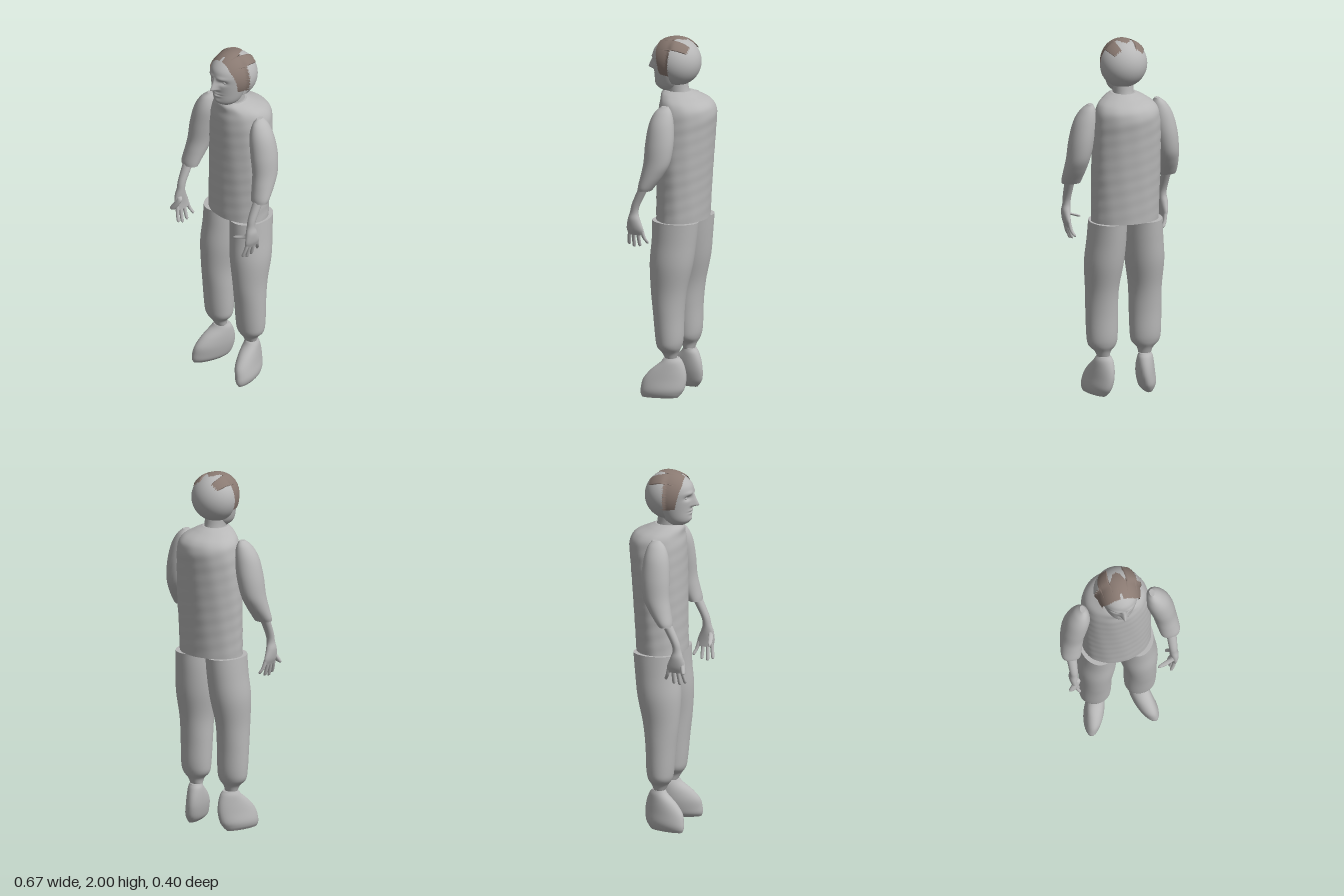
import * as THREE from 'three';

const mat = (name, color) => {
  const m = new THREE.MeshStandardMaterial({ color, side: THREE.DoubleSide });
  m.name = name;
  return m;
};

// Smooth closed loft through horizontal ellipses [y, cx, cz, rx, rz], listed bottom to top.
function loft(rows, { seg = 32, steps = 6, shear = 0, warp } = {}) {
  const mid = new THREE.CatmullRomCurve3(rows.map(r => new THREE.Vector3(r[1], r[0], r[2])), false, 'catmullrom', 0.5);
  const rad = new THREE.CatmullRomCurve3(rows.map(r => new THREE.Vector3(r[3], 0, r[4])), false, 'catmullrom', 0.5);
  const n = (rows.length - 1) * steps, pos = [], idx = [];
  const ring = j => {
    const c = mid.getPoint(j / n), r = rad.getPoint(j / n);
    for (let i = 0; i < seg; i++) {
      const a = i / seg * Math.PI * 2, dz = Math.sin(a) * r.z;
      const p = new THREE.Vector3(c.x + Math.cos(a) * r.x + shear * dz, c.y, c.z + dz);
      if (warp) warp(p, a);
      pos.push(p.x, p.y, p.z);
    }
    return c;
  };
  for (let j = 0; j <= n; j++) ring(j);
  for (let j = 0; j < n; j++) for (let i = 0; i < seg; i++) {
    const a = j * seg + i, b = j * seg + (i + 1) % seg;
    idx.push(a, a + seg, b, b, a + seg, b + seg);
  }
  // Caps use their own ring so their rims stay crisp
  for (const j of [0, n]) {
    const s = pos.length / 3, c = ring(j), m = s + seg;
    pos.push(c.x, c.y, c.z);
    for (let i = 0; i < seg; i++) {
      const k = s + (i + 1) % seg;
      if (j) idx.push(m, k, s + i); else idx.push(m, s + i, k);
    }
  }
  const g = new THREE.BufferGeometry();
  g.setAttribute('position', new THREE.Float32BufferAttribute(pos, 3));
  g.setIndex(idx);
  g.computeVertexNormals();
  return g;
}

const bump = (x, y, cx, cy, sx, sy) => Math.exp(-(((x - cx) / sx) ** 2) - ((y - cy) / sy) ** 2);

// Nose, brow, eye sockets, lips and chin pushed out of the front of the head
function faceWarp(p) {
  if (p.z < 0.07) return;
  const x = Math.abs(p.x), y = p.y;
  const t = (1.885 - y) / 0.07;
  const nose = t > 0 ? 0.042 * Math.min(t, 1) * (t > 1 ? Math.exp(-(((y - 1.815) / 0.009) ** 2)) : 1) : 0;
  p.z += nose * Math.exp(-((x / (0.011 + 0.006 * Math.min(Math.max(t, 0), 1))) ** 2));
  p.z += 0.006 * bump(x, y, 0.04, 1.885, 0.03, 0.012);
  p.z -= 0.014 * bump(x, y, 0.043, 1.858, 0.022, 0.013);
  p.z += 0.007 * bump(x, y, 0, 1.783, 0.026, 0.006) + 0.007 * bump(x, y, 0, 1.767, 0.022, 0.006);
  p.z -= 0.005 * bump(x, y, 0, 1.775, 0.03, 0.003);
  p.z += 0.006 * bump(x, y, 0, 1.735, 0.025, 0.014);
}

// Cap of hair arching ear to ear, with ragged front and back edges
function hairGeometry() {
  const nu = 140, nv = 20, R = 0.139, cz = 0.017, pos = [], idx = [];
  for (let i = 0; i <= nu; i++) {
    const deg = -116 + 232 * i / nu, d = Math.abs(deg), phi = deg * Math.PI / 180;
    const jag = 0.005 * Math.sin(i * 2.3) + 0.003 * Math.sin(i * 5.1);
    const front = (d < 4 ? 0.085 : d < 50 ? 0.112 : 0.112 - (d - 50) * 0.0005) + jag * 0.4;
    let back = -0.075;
    if (d < 15) back = -0.04 + 0.04 * (d / 15) ** 2;
    else if (d < 23) back = 0.01;
    else if (d > 52) back = 0.015;
    for (let j = 0; j <= nv; j++) {
      const z = back + jag + (front - back - jag) * j / nv;
      const q = (z - cz) / (z < cz ? R : 0.155);
      const r = R * Math.sqrt(1 - q * q);
      const narrow = 1 - 0.13 * THREE.MathUtils.smoothstep(z, 0, 0.035);
      pos.push(Math.sin(phi) * r * narrow, 1.86 + Math.cos(phi) * r, z);
    }
  }
  for (let i = 0; i < nu; i++) for (let j = 0; j < nv; j++) {
    const a = i * (nv + 1) + j, b = a + nv + 1;
    idx.push(a, a + 1, b, b, a + 1, b + 1);
  }
  const g = new THREE.BufferGeometry();
  g.setAttribute('position', new THREE.Float32BufferAttribute(pos, 3));
  g.setIndex(idx);
  g.computeVertexNormals();
  return g;
}

export function createModel() {
  const model = new THREE.Group();
  const grey = mat('plainGrey', 0xb8b8b8), brown = mat('hairBrown', 0x8a7a72);
  const add = (name, geo, m = grey) => {
    const mesh = new THREE.Mesh(geo, m);
    mesh.name = name;
    model.add(mesh);
    return mesh;
  };

  // Shirt body with faint cloth wrinkles
  add('shirt', loft([
    [0.99, 0.002, -0.02, 0.19, 0.138], [1.15, 0.002, -0.026, 0.192, 0.142], [1.3, 0.002, -0.032, 0.194, 0.147],
    [1.48, 0, -0.04, 0.19, 0.153], [1.59, 0, -0.045, 0.18, 0.155], [1.645, 0, -0.035, 0.158, 0.138],
    [1.68, 0, -0.002, 0.11, 0.104], [1.7, 0, 0.015, 0.068, 0.075]
  ], { seg: 72, steps: 9, warp: (p, a) => {
    const k = 1 + 0.008 * Math.sin(a * 7 + p.y * 38) * Math.sin(p.y * 47 - a * 4);
    p.x *= k;
    p.z = -0.03 + (p.z + 0.03) * k;
  } }));

  // Neck, face and rounded back of the skull
  add('neck', loft([[1.65, 0, 0, 0.062, 0.07], [1.7, 0, 0.012, 0.057, 0.062], [1.76, 0, 0.02, 0.06, 0.062]]));
  add('head', loft([
    [1.7, 0, 0.06, 0.042, 0.05], [1.718, 0, 0.062, 0.062, 0.072], [1.742, 0, 0.058, 0.076, 0.084],
    [1.785, 0, 0.05, 0.088, 0.095], [1.84, 0, 0.045, 0.098, 0.106], [1.89, 0, 0.04, 0.103, 0.115],
    [1.93, 0, 0.03, 0.096, 0.113], [1.967, 0, 0.02, 0.07, 0.082], [1.985, 0, 0.015, 0.025, 0.03]
  ], { seg: 120, steps: 12, warp: faceWarp }));
  add('skullBack', new THREE.SphereGeometry(0.133, 40, 32, Math.PI, Math.PI)).position.set(0, 1.86, 0.017);
  add('hair', hairGeometry(), brown);

  for (const s of [1, -1]) {
    const side = s > 0 ? 'left' : 'right';
    const part = (name, rows, o = {}) =>
      add(side + name, loft(rows.map(([y, x, ...r]) => [y, x * s, ...r]), { ...o, shear: (o.shear || 0) * s }));

    const eye = add(side + 'Eye', new THREE.SphereGeometry(0.012, 16, 12));
    eye.position.set(0.043 * s, 1.857, 0.122);
    eye.scale.set(1.2, 0.7, 1);

    // Loose trouser leg gathered at the ankle
    part('TrouserLeg', [
      [0.215, 0.12, 0, 0.034, 0.03], [0.25, 0.123, 0.003, 0.046, 0.046], [0.285, 0.125, 0.006, 0.078, 0.066],
      [0.34, 0.126, 0.006, 0.087, 0.076], [0.47, 0.126, 0.01, 0.09, 0.085], [0.6, 0.125, 0.01, 0.092, 0.1],
      [0.75, 0.118, -0.002, 0.107, 0.121], [0.88, 0.108, -0.014, 0.106, 0.126], [0.99, 0.103, -0.02, 0.102, 0.132]
    ], { seg: 40 });

    // Rounded foot turned outward
    part('Foot', [
      [0, 0.155, 0.05, 0.03, 0.095], [0.02, 0.15, 0.046, 0.047, 0.108], [0.05, 0.145, 0.038, 0.055, 0.116],
      [0.1, 0.135, 0.03, 0.056, 0.114], [0.15, 0.127, 0.014, 0.053, 0.092], [0.195, 0.121, -0.004, 0.046, 0.058],
      [0.22, 0.12, -0.005, 0.036, 0.04]
    ], { shear: 0.25 });

    // Sleeve bent forward at the elbow
    part('Sleeve', [
      [1.193, 0.277, 0.083, 0.053, 0.038], [1.22, 0.276, 0.072, 0.058, 0.047], [1.28, 0.268, 0.045, 0.062, 0.062],
      [1.35, 0.258, 0.022, 0.065, 0.074], [1.45, 0.242, 0.014, 0.07, 0.079], [1.55, 0.222, 0.012, 0.065, 0.07],
      [1.615, 0.207, 0.008, 0.042, 0.05], [1.65, 0.195, 0.002, 0.014, 0.022]
    ]);

    // Forearm running into the palm
    part('ForearmAndPalm', [
      [0.935, 0.277, 0.137, 0.012, 0.045], [0.97, 0.283, 0.141, 0.019, 0.049], [1.02, 0.284, 0.147, 0.024, 0.036],
      [1.06, 0.28, 0.147, 0.022, 0.024], [1.11, 0.28, 0.135, 0.024, 0.024], [1.21, 0.281, 0.088, 0.029, 0.028]
    ], { seg: 24 });

    // Four spread fingers and a thumb
    const tips = [[0.172, 0.186, 0.872], [0.149, 0.157, 0.86], [0.126, 0.124, 0.866], [0.103, 0.08, 0.885]];
    tips.forEach(([z0, z1, y], i) => part('Finger' + (i + 1), [
      [y, 0.255, z1, 0.004, 0.004], [y + 0.01, 0.259, z1, 0.009, 0.009],
      [0.92, 0.272, (z0 + z1) / 2, 0.01, 0.01], [0.96, 0.28, z0, 0.011, 0.012]
    ], { seg: 12, steps: 4 }));
    const [tx, ty, tz] = s > 0 ? [0.19, 0.965, 0.19] : [0.305, 0.935, 0.193];
    part('Thumb', [
      [ty, tx, tz, 0.008, 0.005], [ty + 0.012, tx + (0.275 - tx) * 0.25, tz - 0.004, 0.02, 0.011],
      [1.0, 0.268, 0.172, 0.019, 0.013], [1.025, 0.282, 0.16, 0.015, 0.015]
    ], { seg: 12, steps: 4 });
  }
  return model;
}
